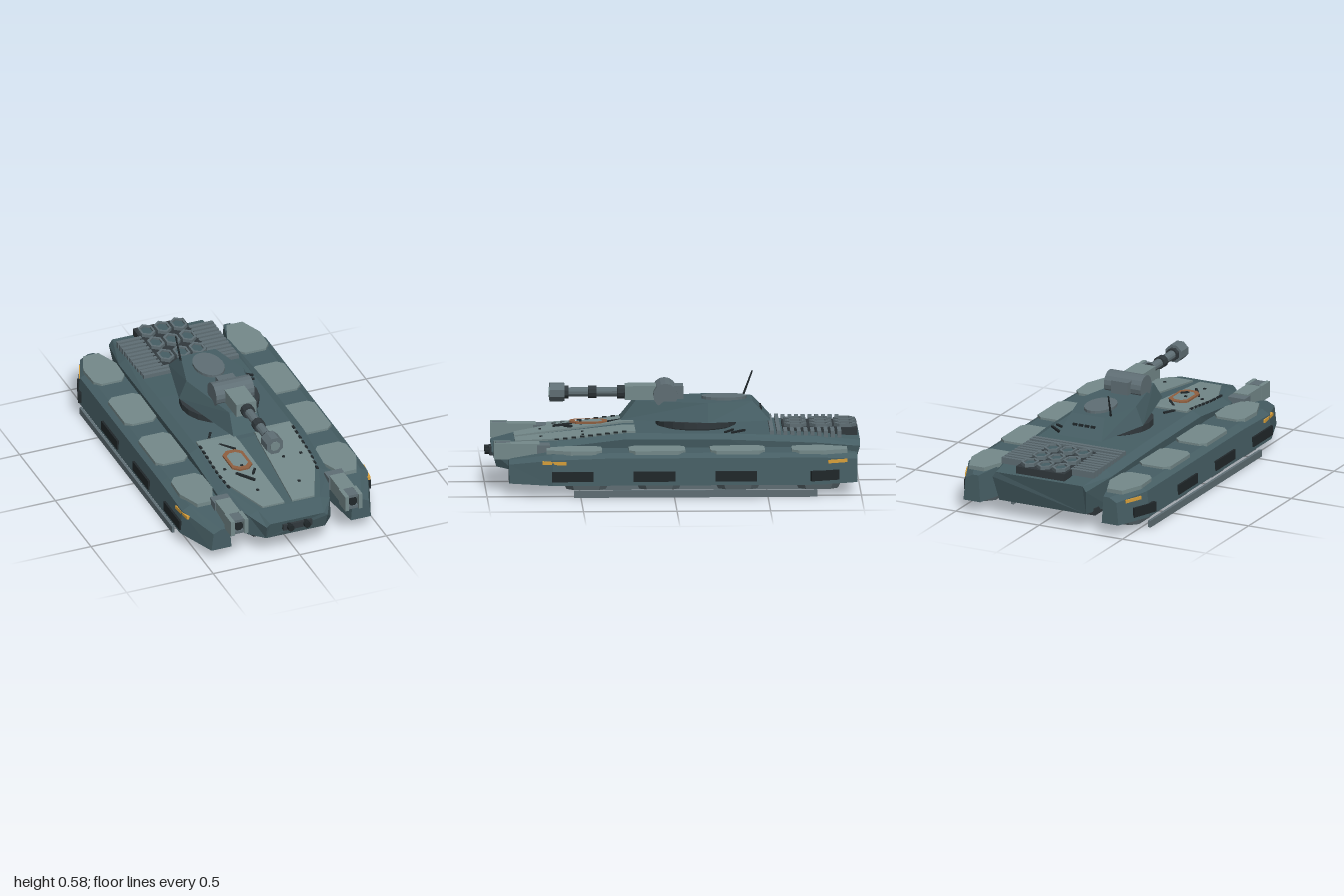
import * as THREE from 'three';

const paint = (color) => new THREE.MeshStandardMaterial({ color, flatShading: true });

export function createModel() {
  const root = new THREE.Group();
  const HULL = paint(0x465e64), PLATE = paint(0x74898a), METAL = paint(0x5f6e74);
  const DARK = paint(0x20272a), BELLY = paint(0x30383c), AMBER = paint(0xd9a03a), RUST = paint(0x8f5f40);

  const add = (name, geo, mat, x = 0, y = 0, z = 0, parent = root) => {
    const m = new THREE.Mesh(geo, mat);
    m.name = name;
    m.position.set(x, y, z);
    parent.add(m);
    return m;
  };
  const box = (name, mat, w, h, d, x, y, z, parent) => add(name, new THREE.BoxGeometry(w, h, d), mat, x, y, z, parent);
  // cylinder lying along z
  const rod = (name, mat, r, z0, z1, x, y, sides = 8, parent = root) =>
    add(name, new THREE.CylinderGeometry(r, r, z1 - z0, sides).rotateY(Math.PI / sides).rotateX(Math.PI / 2), mat, x, y, (z0 + z1) / 2, parent);

  // skin over matching rings of [x, y, z], each counterclockwise seen from the end of the stack
  function loft(rings) {
    const v = [], n = rings[0].length;
    for (let k = 0; k < rings.length - 1; k++) {
      for (let i = 0; i < n; i++) {
        const j = (i + 1) % n, a = rings[k], b = rings[k + 1];
        v.push(...a[i], ...a[j], ...b[j], ...a[i], ...b[j], ...b[i]);
      }
    }
    const first = rings[0], last = rings[rings.length - 1];
    for (let i = 1; i < n - 1; i++) {
      v.push(...first[0], ...first[i + 1], ...first[i], ...last[0], ...last[i], ...last[i + 1]);
    }
    const g = new THREE.BufferGeometry();
    g.setAttribute('position', new THREE.Float32BufferAttribute(v, 3));
    g.computeVertexNormals();
    return g;
  }

  // flat slab from an outline of [x, z], lying on y = 0
  function slab(pts, h, hole) {
    const to2 = ([x, z]) => new THREE.Vector2(x, -z);
    const s = new THREE.Shape(pts.map(to2));
    if (hole) s.holes.push(new THREE.Path(hole.map(to2)));
    return new THREE.ExtrudeGeometry(s, { depth: h, bevelEnabled: false }).rotateX(-Math.PI / 2);
  }
  const octagon = (w, d, c, cz = c) => [[-w, -d + cz], [-w + c, -d], [w - c, -d], [w, -d + cz], [w, d - cz], [w - c, d], [-w + c, d], [-w, d - cz]];

  // central hull: bottom, shoulder and deck half-widths and heights at each station
  const station = (z, bw, by, mw, my, tw, ty, zb = z) => [
    [-bw, by, zb], [bw, by, zb], [mw, my, z], [tw, ty, z], [-tw, ty, z], [-mw, my, z]];
  add('hull', loft([
    station(-1, 0.26, 0.09, 0.28, 0.23, 0.26, 0.26, -0.96),
    station(-0.76, 0.3, 0.08, 0.32, 0.255, 0.28, 0.285),
    station(-0.3, 0.3, 0.08, 0.33, 0.275, 0.28, 0.3),
    station(0.25, 0.3, 0.08, 0.33, 0.28, 0.28, 0.305),
    station(0.62, 0.29, 0.09, 0.32, 0.235, 0.27, 0.262, 0.6),
    station(0.85, 0.24, 0.1, 0.235, 0.215, 0.18, 0.235),
    station(0.965, 0.17, 0.11, 0.175, 0.19, 0.155, 0.208, 0.94),
  ]), HULL);
  add('belly', slab([[-0.285, -0.9], [0.285, -0.9], [0.285, 0.62], [0.2, 0.84], [-0.2, 0.84], [-0.285, 0.62]], 0.04), BELLY, 0, 0.068, 0);

  // hood plates follow the falling hood
  const hoodY = (z) => 0.305 - Math.max(0, z - 0.25) * 0.117;
  for (const s of [-1, 1]) {
    const g = slab([[0.055, 0.25], [0.055, 0.2], [0.27, 0.2], [0.272, 0.25], [0.262, 0.58], [0.15, 0.84], [0.022, 0.84], [0.05, 0.28]].map(([x, z]) => [s * x, z]), 0.01);
    const p = g.attributes.position;
    for (let i = 0; i < p.count; i++) p.setY(i, p.getY(i) + hoodY(p.getZ(i)));
    g.computeVertexNormals();
    add('hoodPlate', g, PLATE);
    for (const [x, z] of [[0.12, 0.48], [0.12, 0.7], [0.22, 0.48]]) {
      box('hoodBolt', DARK, 0.014, 0.006, 0.014, s * x, hoodY(z) + 0.012, z);
    }
    for (let i = 0; i < 9; i++) {
      const z = 0.26 + i * 0.045;
      box('hoodVent', DARK, 0.012, 0.008, 0.025, s * (0.268 - Math.max(0, z - 0.5) * 0.1), hoodY(z) + 0.008, z);
    }
  }
  add('hatchFrame', slab(octagon(0.058, 0.1, 0.032), 0.01, octagon(0.042, 0.072, 0.024)), RUST, -0.13, 0.298, 0.44);
  const bars = [[-0.13, 0.3, 0.305, 0.1, -0.7], [-0.14, 0.58, 0.283, 0.12, -0.6], [-0.08, 0.55, 0.285, 0.05, 0.6],
    [0.23, -0.35, 0.303, 0.11, -0.9], [0.22, -0.3, 0.303, 0.1, -1.1], [-0.18, 0.17, 0.308, 0.07, 0.5]];
  for (const [x, z, y, len, a] of bars) box('toolBar', DARK, 0.012, 0.012, len, x, y, z).rotation.y = -a;

  // headlights on the nose
  box('headlightPanel', BELLY, 0.165, 0.034, 0.03, 0, 0.172, 0.96);
  for (const s of [-1, 1]) rod('headlight', DARK, 0.018, 0.96, 1, s * 0.047, 0.175);

  // engine deck
  box('engineBlock', BELLY, 0.29, 0.04, 0.4, 0, 0.287, -0.79);
  for (let i = 0; i < 11; i++) {
    const z = -0.89 + i * 0.036;
    if (z > -0.6) box('engineSlat', METAL, 0.55, 0.025, 0.021, 0, 0.302, z);
    else for (const s of [-1, 1]) box('engineSlat', METAL, 0.14, 0.035, 0.021, s * 0.207, 0.293, z);
  }
  for (const x of [-0.092, 0, 0.092]) for (const z of [-0.925, -0.795, -0.66]) {
    const hex = (r) => Array.from({ length: 6 }, (_, i) => [0.75 * r * Math.sin(i * Math.PI / 3), r * Math.cos(i * Math.PI / 3)]);
    add('ventRim', slab(hex(0.06), 0.022, hex(0.044)), METAL, x, 0.303, z);
    add('ventCore', slab(hex(0.044), 0.012), HULL, x, 0.303, z);
  }

  // side pods with pads, lift rings, skids and lights
  for (const s of [-1, 1]) {
    const ring = (z, inner, outer, top, edge) => {
      const pts = [[inner, 0.065, z], [outer, 0.065, z], [outer - 0.012, edge, z], [outer - 0.055, top, z], [inner + 0.01, top, z]]
        .map(([x, y, zz]) => [s * x, y, zz]);
      return s < 0 ? pts.reverse() : pts;
    };
    add('sidePod', loft([
      ring(-0.98, 0.365, 0.465, 0.215, 0.19),
      ring(-0.78, 0.31, 0.548, 0.232, 0.21),
      ring(0.35, 0.31, 0.548, 0.232, 0.21),
      ring(0.65, 0.315, 0.548, 0.225, 0.2),
      ring(0.88, 0.345, 0.46, 0.185, 0.165),
    ]), HULL);

    const endPad = (f) => [[-0.09, -0.11 * f], [-0.06, -0.148 * f], [0.06, -0.148 * f], [0.09, -0.11 * f], [0.095, 0.02 * f], [0.045, 0.148 * f], [-0.045, 0.148 * f], [-0.095, 0.02 * f]];
    const pads = [[-0.778, endPad(-1)], [-0.34, octagon(0.093, 0.146, 0.032)], [0.09, octagon(0.093, 0.15, 0.032)], [0.532, endPad(1)]];
    for (const [z, outline] of pads) add('topPad', slab(outline, 0.022), PLATE, s * 0.415, 0.222, z);

    // lift rings widen up towards the pod floor
    for (const z of [0.47, 0.08, -0.34, -0.77]) {
      const g = slab(octagon(0.095, 0.12, 0.045), 0.03, octagon(0.06, 0.08, 0.03));
      const p = g.attributes.position;
      for (let i = 0; i < p.count; i++) if (p.getY(i) < 0.01) {
        p.setX(i, p.getX(i) * 0.9);
        p.setZ(i, p.getZ(i) * 0.88);
      }
      g.computeVertexNormals();
      add('liftRing', g, METAL, s * 0.43, 0.037, z);
      add('liftCore', slab(octagon(0.07, 0.09, 0.035), 0.008), DARK, s * 0.43, 0.06, z);
    }
    for (const x of [0.283, 0.54]) box('skid', METAL, 0.015, 0.038, 1.3, s * x, 0.019, -0.113);

    // dark side panels; the rear one follows the taper
    for (const z of [0.543, 0.107, -0.33]) box('sidePanel', DARK, 0.025, 0.054, 0.222, s * 0.541, 0.113, z);
    box('sidePanel', DARK, 0.02, 0.054, 0.16, s * 0.53, 0.113, -0.805).rotation.y = s * 0.36;
    box('markerLight', AMBER, 0.02, 0.018, 0.13, s * 0.528, 0.185, 0.64).rotation.y = -s * 0.12;
    box('markerLight', AMBER, 0.016, 0.018, 0.11, s * 0.497, 0.185, -0.872).rotation.y = s * 0.39;

    // forward side gun
    const gun = new THREE.Group();
    gun.name = 'sideGun';
    gun.position.set(s * 0.33, 0.225, 0);
    root.add(gun);
    box('gunMount', METAL, 0.1, 0.075, 0.07, 0, -0.005, 0.695, gun);
    box('gunBody', PLATE, 0.085, 0.08, 0.17, 0, 0, 0.8, gun);
    for (const f of [-1, 1]) {
      box('gunCheek', PLATE, 0.022, 0.088, 0.09, f * 0.039, 0, 0.913, gun);
      box('gunBridge', METAL, 0.06, 0.016, 0.075, 0, f * 0.035, 0.91, gun);
    }
    rod('gunMuzzle', DARK, 0.026, 0.87, 0.945, 0, 0, 8, gun);
  }

  // turret: collar and tapered body
  const turret = new THREE.Group();
  turret.name = 'turret';
  root.add(turret);
  add('turretCollar', new THREE.CylinderGeometry(0.215, 0.215, 0.035, 20), BELLY, 0, 0.328, -0.13, turret);
  add('turretRing', new THREE.CylinderGeometry(0.19, 0.19, 0.05, 20), DARK, 0, 0.305, -0.13, turret);
  const plan = (y, pts) => [...pts, ...pts.map(([x, z]) => [-x, z]).reverse()].map(([x, z]) => [x, y, z]);
  add('turretBody', loft([
    plan(0.345, [[0.085, 0.275], [0.208, -0.19], [0.13, -0.525]]),
    plan(0.446, [[0.075, 0.195], [0.165, -0.19], [0.1, -0.43]]),
  ]), HULL, 0, 0, 0, turret);
  add('turretHatch', new THREE.CylinderGeometry(1, 1, 0.018, 20).scale(0.08, 1, 0.12), METAL, 0, 0.452, -0.28, turret);
  for (let i = 0; i < 4; i++) box('rearSlot', DARK, 0.026, 0.012, 0.01, -0.054 + i * 0.036, 0.4, -0.476, turret);
  const antenna = add('antenna', new THREE.CylinderGeometry(0.004, 0.006, 0.135, 6), DARK, -0.121, 0.511, -0.412, turret);
  antenna.rotation.set(-0.36, 0, 0.07);

  // main gun
  add('gunDrum', new THREE.CylinderGeometry(0.065, 0.065, 0.22, 16).rotateZ(Math.PI / 2), METAL, 0, 0.478, 0.035, turret);
  box('gunDrumCover', METAL, 0.1, 0.07, 0.1, 0, 0.485, -0.012, turret);
  box('gunCradle', PLATE, 0.115, 0.075, 0.18, 0, 0.484, 0.16, turret);
  rod('barrel', METAL, 0.025, 0.2, 0.58, 0, 0.483, 12, turret);
  rod('barrelSleeve', BELLY, 0.036, 0.245, 0.29, 0, 0.483, 10, turret);
  rod('barrelCollar', BELLY, 0.034, 0.4, 0.445, 0, 0.483, 10, turret);
  rod('muzzleBase', BELLY, 0.036, 0.55, 0.575, 0, 0.483, 8, turret);
  rod('muzzle', METAL, 0.051, 0.572, 0.652, 0, 0.483, 8, turret);
  rod('muzzleBore', PLATE, 0.028, 0.64, 0.656, 0, 0.483, 8, turret);

  return root;
}
